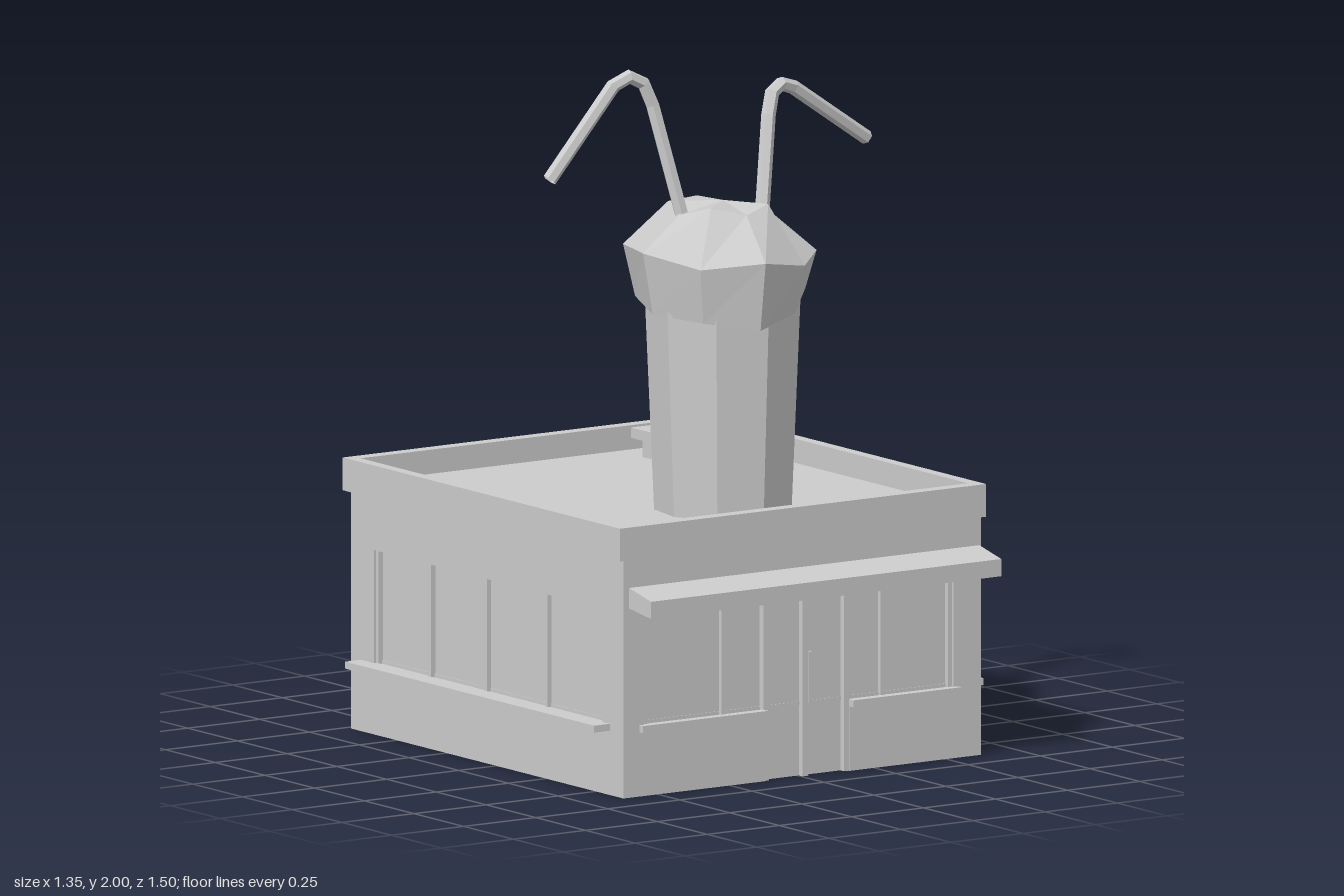
import * as THREE from 'three';

const mat = new THREE.MeshStandardMaterial({ color: 0xcccccc, flatShading: true });
const matDouble = new THREE.MeshStandardMaterial({ color: 0xcccccc, flatShading: true, side: THREE.DoubleSide });

const add = (parent, name, geo, m = mat) => {
  const mesh = new THREE.Mesh(geo, m);
  mesh.name = name;
  parent.add(mesh);
  return mesh;
};

// box given by its min and max on each axis
const box = (parent, name, x0, x1, y0, y1, z0, z1) =>
  add(parent, name, new THREE.BoxGeometry(x1 - x0, y1 - y0, z1 - z0))
    .position.set((x0 + x1) / 2, (y0 + y1) / 2, (z0 + z1) / 2);

const polygon = (pts) => pts.map(([x, y]) => new THREE.Vector2(x, y));
const rect = (x0, x1, y0, y1) => polygon([[x0, y0], [x1, y0], [x1, y1], [x0, y1]]);
const extrude = (shape, depth) => new THREE.ExtrudeGeometry(shape, { depth, bevelEnabled: false });

const T = 0.035; // wall thickness

// front or back wall, outer face at local z = 0, facing s
function facade(name, s) {
  const g = new THREE.Group();
  g.name = name;
  const span = (a, b) => (s > 0 ? [-b, -a] : [a, b]); // depth behind the outer face
  const outline = new THREE.Shape(polygon([
    [-0.618, 0], [-0.13, 0], [-0.13, 0.205], [-0.548, 0.205], [-0.548, 0.515], [0.525, 0.515],
    [0.525, 0.205], [0.165, 0.205], [0.165, 0], [0.618, 0], [0.618, 0.69], [-0.618, 0.69]]));
  add(g, 'wall', extrude(outline, T)).position.z = span(0, T)[0];
  box(g, 'windowGlass', -0.55, 0.53, 0.2, 0.52, ...span(0.022, 0.03));
  box(g, 'doorGlass', -0.135, 0.17, 0, 0.205, ...span(0.022, 0.03));
  for (const x of [-0.54, -0.267, 0.285, 0.518])
    box(g, 'mullion', x - 0.007, x + 0.007, 0.205, 0.515, ...span(0.008, 0.024));
  for (const x of [-0.122, 0.014, 0.158])
    box(g, 'doorPost', x - 0.01, x + 0.01, 0, 0.515, ...span(0.004, 0.024));
  box(g, 'doorHandle', 0.026, 0.036, 0.21, 0.36, ...span(0.002, 0.014));
  for (const [a, b] of [[-0.565, -0.13], [0.165, 0.54]])
    box(g, 'sill', a, b, 0.187, 0.207, ...span(-0.018, 0.01));
  return g;
}

// side wall with a long window band
function sideWall(name, s) {
  const g = new THREE.Group();
  g.name = name;
  const span = (a, b) => (s > 0 ? [-b, -a] : [a, b]);
  const outline = new THREE.Shape(rect(-0.64, 0.73, 0, 0.69));
  outline.holes.push(new THREE.Path(rect(-0.536, 0.615, 0.205, 0.535)));
  add(g, 'wall', extrude(outline, T)).position.z = span(0, T)[0];
  box(g, 'windowGlass', -0.54, 0.62, 0.2, 0.54, ...span(0.022, 0.03));
  for (const u of [-0.53, -0.24, 0.064, 0.345, 0.609])
    box(g, 'mullion', u - 0.007, u + 0.007, 0.205, 0.535, ...span(0.008, 0.024));
  box(g, 'sill', -0.573, 0.68, 0.187, 0.207, ...span(-0.055, 0.01));
  g.rotation.y = Math.PI / 2;
  g.position.x = s * 0.62;
  return g;
}

// faceted whipped cream built from rings around its centre
function creamGeometry() {
  const rim = [[-0.255, 0.21], [-0.18, 0.39], [-0.03, 0.5], [0.14, 0.45], [0.25, 0.35],
    [0.28, 0.19], [0.24, 0.06], [0.035, -0.05], [-0.18, 0]];
  const drip = [1.3, 1.29, 1.27, 1.3, 1.35, 1.37, 1.36, 1.31, 1.32];
  const belly = [1.48, 1.45, 1.47, 1.44, 1.46, 1.44, 1.5, 1.5, 1.47];
  const crown = [1.58, 1.61, 1.59, 1.61, 1.56, 1.58, 1.57, 1.6, 1.6];
  const n = rim.length, cx = 0.015, cz = 0.222;
  const rings = [[0.7, drip.map((y) => y + 0.04)], [0.88, drip], [1, belly], [0.55, crown]];
  const pos = [], index = [];
  for (const [k, ys] of rings)
    rim.forEach(([x, z], i) => pos.push(cx + (x - cx) * k, ys[i], cz + (z - cz) * k));
  pos.push(cx, 1.61, cz);
  for (let i = 0; i < n; i++) {
    const j = (i + 1) % n;
    for (let r = 0; r < 3; r++) {
      const a = r * n + i, b = r * n + j;
      index.push(a, b, b + n, a, b + n, a + n);
    }
    index.push(3 * n + i, 3 * n + j, 4 * n);
  }
  const geo = new THREE.BufferGeometry();
  geo.setAttribute('position', new THREE.Float32BufferAttribute(pos, 3));
  geo.setIndex(index);
  geo.computeVertexNormals();
  return geo;
}

// six-sided tube with one ring per path point
function strawGeometry(points) {
  const pts = points.map((p) => new THREE.Vector3(...p));
  const n = pts.length - 1;
  const curve = new THREE.Curve();
  curve.getPoint = (t) => {
    const i = Math.min(Math.floor(t * n), n - 1);
    return new THREE.Vector3().lerpVectors(pts[i], pts[i + 1], t * n - i);
  };
  curve.getPointAt = curve.getPoint;
  curve.getTangentAt = (t) => curve.getTangent(t);
  return new THREE.TubeGeometry(curve, n, 0.021, 6, false);
}

export function createModel() {
  const model = new THREE.Group();
  model.name = 'milkshakeDiner';

  // walls
  const front = facade('frontWall', 1);
  front.position.z = 0.64;
  const back = facade('backWall', -1);
  back.position.z = -0.73;
  model.add(front, back, sideWall('leftWall', 1), sideWall('rightWall', -1));

  // open underside: raised floor with two dividers along the door passage
  box(model, 'raisedFloor', -0.6, 0.6, 0.205, 0.215, -0.71, 0.62);
  for (const x of [-0.13, 0.165])
    box(model, 'passageDivider', x - 0.004, x + 0.004, 0, 0.206, -0.71, 0.62);

  // roof with parapet
  box(model, 'roof', -0.61, 0.61, 0.692, 0.715, -0.72, 0.615);
  const parapet = new THREE.Shape(rect(-0.635, 0.635, -0.645, 0.75));
  parapet.holes.push(new THREE.Path(rect(-0.6, 0.6, -0.605, 0.71)));
  const parapetMesh = add(model, 'parapet', extrude(parapet, 0.095));
  parapetMesh.rotation.x = -Math.PI / 2;
  parapetMesh.position.y = 0.69;

  // roof vents
  for (const z of [-0.545, -0.283]) {
    box(model, 'ventBase', 0.295, 0.485, 0.71, 0.77, z - 0.045, z + 0.045);
    box(model, 'ventCap', 0.27, 0.51, 0.77, 0.8, z - 0.067, z + 0.067);
  }

  // awning: profile in z and y, extruded along x
  const awning = new THREE.Shape(polygon([[-0.635, 0.61], [-0.75, 0.585], [-0.75, 0.535], [-0.635, 0.55]]));
  const awningMesh = add(model, 'awning', extrude(awning, 1.215));
  awningMesh.rotation.y = Math.PI / 2;
  awningMesh.position.x = -0.6;

  // giant milkshake
  const cup = add(model, 'cup', new THREE.CylinderGeometry(0.23, 0.2, 0.7, 9), mat);
  cup.position.set(0.017, 1.06, 0.222);
  add(model, 'whippedCream', creamGeometry(), matDouble);
  add(model, 'leftStraw', strawGeometry([[0.15, 1.5, 0.215], [0.235, 1.82, 0.13], [0.26, 1.88, 0.112],
    [0.3, 1.9, 0.1], [0.345, 1.885, 0.095], [0.607, 1.71, 0.085]]), matDouble);
  add(model, 'rightStraw', strawGeometry([[-0.1, 1.5, 0.215], [-0.17, 1.89, 0.135], [-0.195, 1.955, 0.125],
    [-0.24, 1.978, 0.118], [-0.29, 1.955, 0.11], [-0.497, 1.7, 0.09]]), matDouble);

  return model;
}
